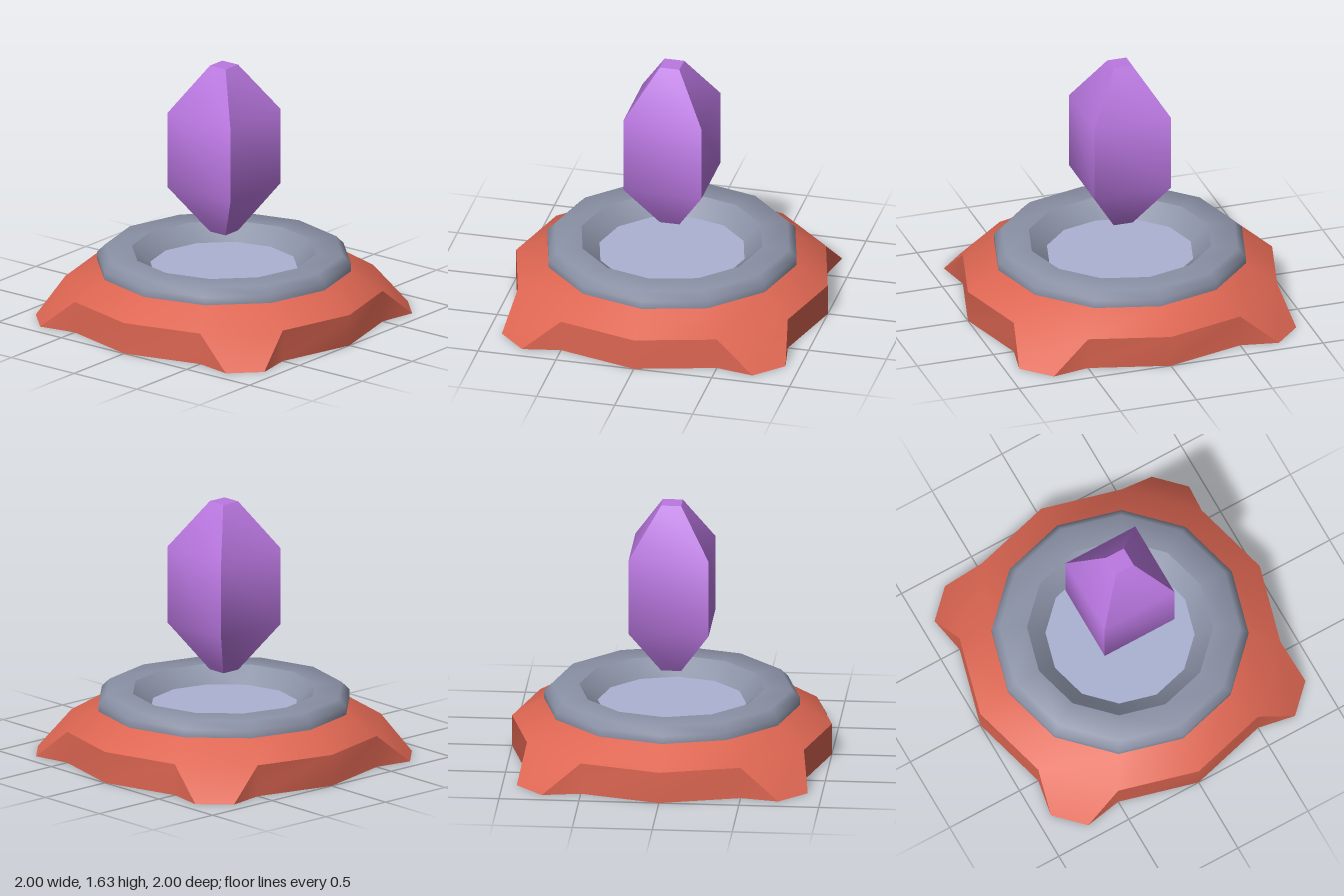
import * as THREE from 'three';
import { toCreasedNormals } from 'three/addons/utils/BufferGeometryUtils.js';

const material = (name, color) => {
  const m = new THREE.MeshStandardMaterial({ color });
  m.name = name;
  return m;
};

// Faceted solid of revolution; profile is a list of [radius, height]
function turned(profile, sides, start, crease) {
  const points = profile.map(([r, y]) => new THREE.Vector2(r, y));
  return toCreasedNormals(new THREE.LatheGeometry(points, sides, start), crease);
}

// Twelve-sided base with a splayed foot on each diagonal
function baseGeometry() {
  const pos = [];
  const at = (deg, r, y) => {
    const a = THREE.MathUtils.degToRad(deg);
    return [r * Math.sin(a), y, r * Math.cos(a)];
  };
  const tri = (a, b, c) => pos.push(...a, ...b, ...c);
  const quad = (a, b, c, d) => { tri(a, b, c); tri(a, c, d); };
  const center = [0, 0, 0];

  for (let i = 0; i < 12; i++) {
    const d0 = i * 30, d1 = d0 + 30;
    const a0 = at(d0, 1, 0), b0 = at(d1, 1, 0);
    const a1 = at(d0, 1, 0.2), b1 = at(d1, 1, 0.2);
    // sloped shoulder and underside
    quad(a1, b1, at(d1, 0.8, 0.32), at(d0, 0.8, 0.32));
    tri(center, b0, a0);
    if (i % 3 === 1) {
      // foot: sloped top, two triangular cheeks, underside
      const fa = at(d0 + 9.1, 1.173, 0), fb = at(d1 - 9.1, 1.173, 0);
      quad(fa, fb, b1, a1);
      tri(a0, fa, a1);
      tri(fb, b0, b1);
      quad(a0, b0, fb, fa);
    } else {
      quad(a0, b0, b1, a1);
    }
  }
  const g = new THREE.BufferGeometry();
  g.setAttribute('position', new THREE.Float32BufferAttribute(pos, 3));
  return toCreasedNormals(g, 0.7);
}

export function createModel() {
  const group = new THREE.Group();
  const red = material('red', 0xdd6652);
  const stone = material('stone grey', 0x8a91a5);
  const pale = material('pale stone', 0xabb2d2);
  const purple = material('crystal purple', 0xbb78e2);

  const add = (name, geometry, mat) => {
    const mesh = new THREE.Mesh(geometry, mat);
    mesh.name = name;
    group.add(mesh);
    return mesh;
  };

  add('base', baseGeometry(), red);

  // Bevelled stone ring and the sloping wall inside it
  add('ring', turned([[0.8, 0.32], [0.8, 0.37], [0.75, 0.42], [0.58, 0.42]], 12, 0, 0.9), stone);
  add('ringInnerWall', turned([[0.58, 0.42], [0.465, 0.32]], 12, 0, 0.9), stone);

  // Basin floor
  const floor = add('basinFloor', new THREE.CircleGeometry(0.467, 12), pale);
  floor.rotation.x = -Math.PI / 2;
  floor.position.y = 0.32;

  // Floating square crystal, tapered at both ends
  const h = Math.SQRT2;
  add('crystal', turned([
    [0, 0.545], [0.0625 * h, 0.545], [0.25 * h, 0.845],
    [0.25 * h, 1.335], [0.0625 * h, 1.635], [0, 1.635],
  ], 4, Math.PI / 4, 0.7), purple);

  return group;
}
